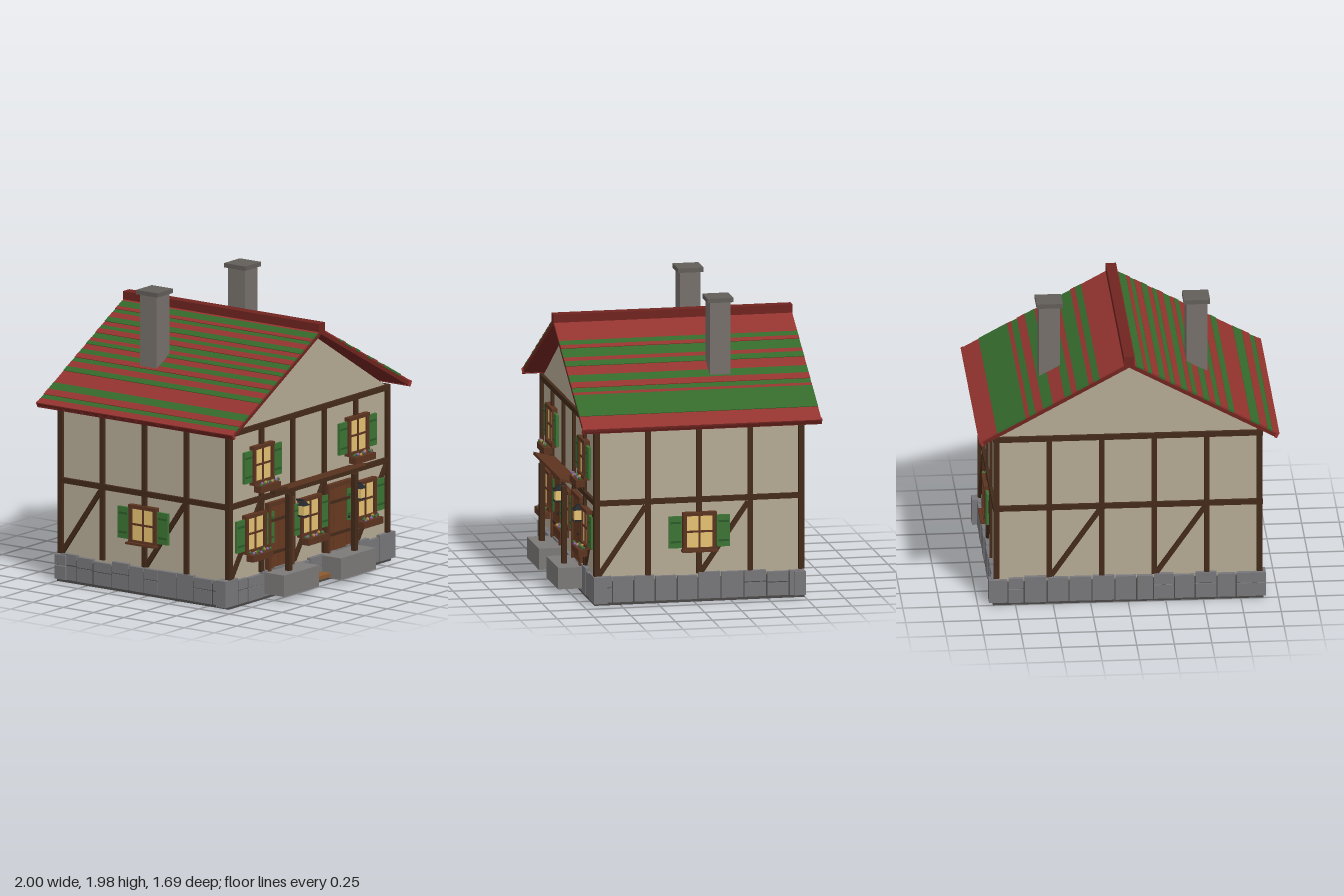
import * as THREE from 'three';

const mat = (color) => new THREE.MeshStandardMaterial({ color, flatShading: true });
const M = {
  wall: mat(0xb5aa94), timber: mat(0x432a1a), door: mat(0x683a20), frame: mat(0x5c3420),
  pane: mat(0xe6c272), green: mat(0x3c7434), darkGreen: mat(0x2c5a28), stone: mat(0x77767a),
  step: mat(0x7c7a78), chimney: mat(0x76706a), cap: mat(0x625d59), red: mat(0x93332e),
  darkRed: mat(0x70241f), roofGreen: mat(0x356a2c), iron: mat(0x24272b), base: mat(0x4a4846),
  plank: mat(0x8a5a30), leaf: mat(0x3f6b30), petalA: mat(0x8c62a8), petalB: mat(0xc08a4a),
};

let seed = 7;
const rand = () => (seed = (seed * 16807) % 2147483647) / 2147483647;

function box(parent, name, m, w, h, d, x, y, z, rz = 0) {
  const mesh = new THREE.Mesh(new THREE.BoxGeometry(w, h, d), m);
  mesh.name = name;
  mesh.position.set(x, y, z);
  mesh.rotation.z = rz;
  parent.add(mesh);
  return mesh;
}

function group(parent, name, x = 0, y = 0, z = 0, ry = 0) {
  const g = new THREE.Group();
  g.name = name;
  g.position.set(x, y, z);
  g.rotation.y = ry;
  parent.add(g);
  return g;
}

// Timber frame on a wall; local z points outwards
function timberFrame(wall, half, bays, braceStart) {
  const step = (2 * half) / bays;
  for (let i = 0; i <= bays; i++) box(wall, 'post', M.timber, 0.036, 1, 0.036, -half + i * step, 0.69, 0);
  for (const y of [0.69, 1.185]) box(wall, 'rail', M.timber, 2 * half + 0.036, 0.036, 0.04, 0, y, 0);
  for (let i = braceStart; i < bays; i += 2) {
    const w = step - 0.03, h = 0.46;
    box(wall, 'brace', M.timber, Math.hypot(w, h), 0.032, 0.03, -half + (i + 0.5) * step, 0.43, 0, Math.atan2(h, w));
  }
}

// Window with shutters, and either a flower box or a plain sill
function windowUnit(wall, x, y, flowers) {
  const g = group(wall, 'window', x, y, 0);
  box(g, 'pane', M.pane, 0.2, 0.23, 0.02, 0, 0, 0.01);
  for (const s of [-1, 1]) {
    box(g, 'frameSide', M.frame, 0.024, 0.25, 0.045, s * 0.1, 0, 0.012);
    box(g, 'frameRail', M.frame, 0.23, 0.024, 0.05, 0, s * 0.12, 0.012);
    const sh = group(g, 'shutter', s * 0.163, 0, 0.018);
    box(sh, 'shutterPanel', M.green, 0.088, 0.215, 0.018, 0, 0, 0);
    for (const yy of [-0.065, 0.065]) box(sh, 'shutterBatten', M.darkGreen, 0.07, 0.014, 0.01, 0, yy, 0.008);
  }
  box(g, 'mullion', M.frame, 0.013, 0.23, 0.03, 0, 0, 0.012);
  box(g, 'crossbar', M.frame, 0.19, 0.013, 0.03, 0, 0, 0.012);
  if (!flowers) {
    box(g, 'sill', M.frame, 0.24, 0.014, 0.06, 0, -0.128, 0.03);
    return;
  }
  box(g, 'flowerBox', M.frame, 0.22, 0.045, 0.06, 0, -0.155, 0.06);
  for (let i = 0; i < 11; i++) {
    const m = [M.leaf, M.petalA, M.leaf, M.petalB][i % 4];
    const f = new THREE.Mesh(new THREE.IcosahedronGeometry(0.012, 0), m);
    f.name = 'flower';
    f.position.set(-0.095 + i * 0.019, -0.128 + rand() * 0.014, 0.05 + rand() * 0.03);
    g.add(f);
  }
}

function door(wall, x) {
  const g = group(wall, 'door', x, 0.41, 0);
  for (let i = -2; i <= 2; i++) box(g, 'doorPlank', M.door, 0.046, 0.44, 0.03, i * 0.048, 0, 0.005);
  for (const s of [-1, 1]) {
    box(g, 'doorJamb', M.frame, 0.024, 0.46, 0.05, s * 0.13, 0, 0.008);
    box(g, 'doorStrap', M.timber, 0.22, 0.02, 0.012, 0, s * 0.11, 0.022);
  }
  box(g, 'doorLintel', M.frame, 0.285, 0.028, 0.05, 0, 0.22, 0.008);
  const knob = new THREE.Mesh(new THREE.SphereGeometry(0.011, 8, 6), M.iron);
  knob.name = 'doorKnob';
  knob.position.set(0.09, -0.02, 0.03);
  g.add(knob);
}

function lantern(wall, x) {
  const g = group(wall, 'lantern', x, 0.54, 0.055);
  box(g, 'lanternGlass', M.pane, 0.046, 0.07, 0.046, 0, 0, 0);
  box(g, 'lanternFoot', M.iron, 0.054, 0.01, 0.054, 0, -0.038, 0);
  box(g, 'lanternBracket', M.iron, 0.012, 0.012, 0.07, 0, 0.065, -0.03);
  const top = new THREE.Mesh(new THREE.ConeGeometry(0.045, 0.04, 4), M.iron);
  top.name = 'lanternCap';
  top.rotation.y = Math.PI / 4;
  top.position.y = 0.053;
  g.add(top);
}

// Row of uneven foundation stones, some split into two courses
function stoneRow(wall, from, to) {
  const row = group(wall, 'stoneRow');
  for (let x = from; x < to - 0.01;) {
    let w = 0.1 + rand() * 0.06;
    if (to - x - w < 0.08) w = to - x;
    const h = 0.165 + rand() * 0.025, d = 0.075 + rand() * 0.02, split = rand() < 0.4;
    const courses = split ? [[0.015, h * 0.55], [h * 0.58 + 0.01, h * 0.42]] : [[0.015, h]];
    for (const [y0, ch] of courses) box(row, 'stone', M.stone, w - 0.008, ch - 0.006, d, x + w / 2, y0 + ch / 2, -0.015);
    x += w;
  }
}

// One roof slope with uneven coloured strips, given as [distance from ridge, isGreen]
function roofSlope(roof, name, ry, strips) {
  const pivot = group(roof, name, 0, 0, 0, ry);
  const slope = group(pivot, 'slope');
  const angle = Math.atan(0.545), k = 1 / Math.cos(angle);
  slope.rotation.z = -angle;
  box(slope, 'roofBoard', M.darkRed, k, 0.03, 1.61, k / 2, -0.023, 0);
  strips.forEach(([start, green], i) => {
    const end = i + 1 < strips.length ? strips[i + 1][0] : 1;
    const t = 0.01 + (i % 3) * 0.002;
    box(slope, 'roofStrip', green ? M.roofGreen : M.red, (end - start) * k, t, 1.615, ((start + end) / 2) * k, -0.012 + t / 2, 0);
  });
  box(slope, 'eaveBoard', M.red, 0.02, 0.04, 1.625, k - 0.01, -0.02, 0);
}

const alternate = (edges) => edges.map((e, i) => [e, i % 2 === 1]);

export function createModel() {
  const house = new THREE.Group();
  house.name = 'house';
  const zc = -0.037;

  // Body, gables and base
  box(house, 'walls', M.wall, 1.75, 1.15, 1.38, 0, 0.615, zc);
  const tri = new THREE.Shape([[-0.88, 1.19], [0.88, 1.19], [0, 1.728]].map((p) => new THREE.Vector2(...p)));
  const gable = new THREE.Mesh(new THREE.ExtrudeGeometry(tri, { depth: 1.38, bevelEnabled: false }), M.wall);
  gable.name = 'gable';
  gable.position.z = zc - 0.69;
  house.add(gable);
  box(house, 'basePlate', M.base, 1.8, 0.16, 1.42, 0, 0.08, zc);

  // Four timbered walls
  const front = group(house, 'frontWall', 0, 0, 0.655);
  const back = group(house, 'backWall', 0, 0, -0.729, Math.PI);
  const right = group(house, 'sideWall', 0.877, 0, zc, Math.PI / 2);
  const left = group(house, 'sideWall', -0.877, 0, zc, -Math.PI / 2);
  timberFrame(front, 0.875, 5, 0);
  timberFrame(back, 0.875, 5, 1);
  for (const side of [right, left]) {
    timberFrame(side, 0.694, 4, 0);
    windowUnit(side, 0, 0.475, false);
    stoneRow(side, -0.69, 0.69);
  }
  stoneRow(front, -0.95, 0.94);
  stoneRow(back, -0.93, 0.92);

  // Front windows, doors and lanterns
  for (const x of [-0.613, 0, 0.613]) windowUnit(front, x, 0.475, true);
  for (const x of [-0.528, 0.528]) windowUnit(front, x, 0.93, true);
  for (const s of [-1, 1]) {
    door(front, s * 0.33);
    box(house, 'doorstep', M.step, 0.39, 0.145, 0.18, s * 0.315, 0.11, 0.75);
    box(house, 'porchPost', M.timber, 0.034, 0.53, 0.034, s * 0.365, 0.44, 0.77);
  }
  lantern(front, -0.122);
  lantern(front, 0.51);
  box(house, 'lowPlank', M.plank, 0.24, 0.025, 0.08, 0, 0.06, 0.72);

  // Porch canopy
  const canopy = box(house, 'canopy', M.frame, 0.87, 0.018, 0.15, 0, 0.745, 0.74);
  canopy.rotation.x = -0.26;
  box(house, 'canopyBeam', M.timber, 0.86, 0.035, 0.04, 0, 0.715, 0.685);

  // Roof
  const roof = group(house, 'roof', 0, 1.765, -0.037);
  roofSlope(roof, 'rightRoof', 0, alternate([0, 0.2, 0.24, 0.27, 0.35, 0.385, 0.43, 0.51, 0.575, 0.625, 0.665, 0.69, 0.88]));
  roofSlope(roof, 'leftRoof', Math.PI, alternate([0, 0.05, 0.1, 0.125, 0.155, 0.2, 0.24, 0.275, 0.305, 0.345, 0.39, 0.42,
    0.45, 0.495, 0.535, 0.575, 0.61, 0.66, 0.7, 0.81, 0.87, 0.92, 0.955]));
  box(roof, 'ridgeCap', M.darkRed, 0.07, 0.065, 1.62, 0, 0.002, 0);

  // Chimneys
  for (const s of [-1, 1]) {
    box(house, 'chimney', M.chimney, 0.14, 0.62, 0.14, s * 0.49, 1.65, -0.247);
    box(house, 'chimneyCap', M.cap, 0.175, 0.03, 0.175, s * 0.49, 1.965, -0.247);
  }
  return house;
}
